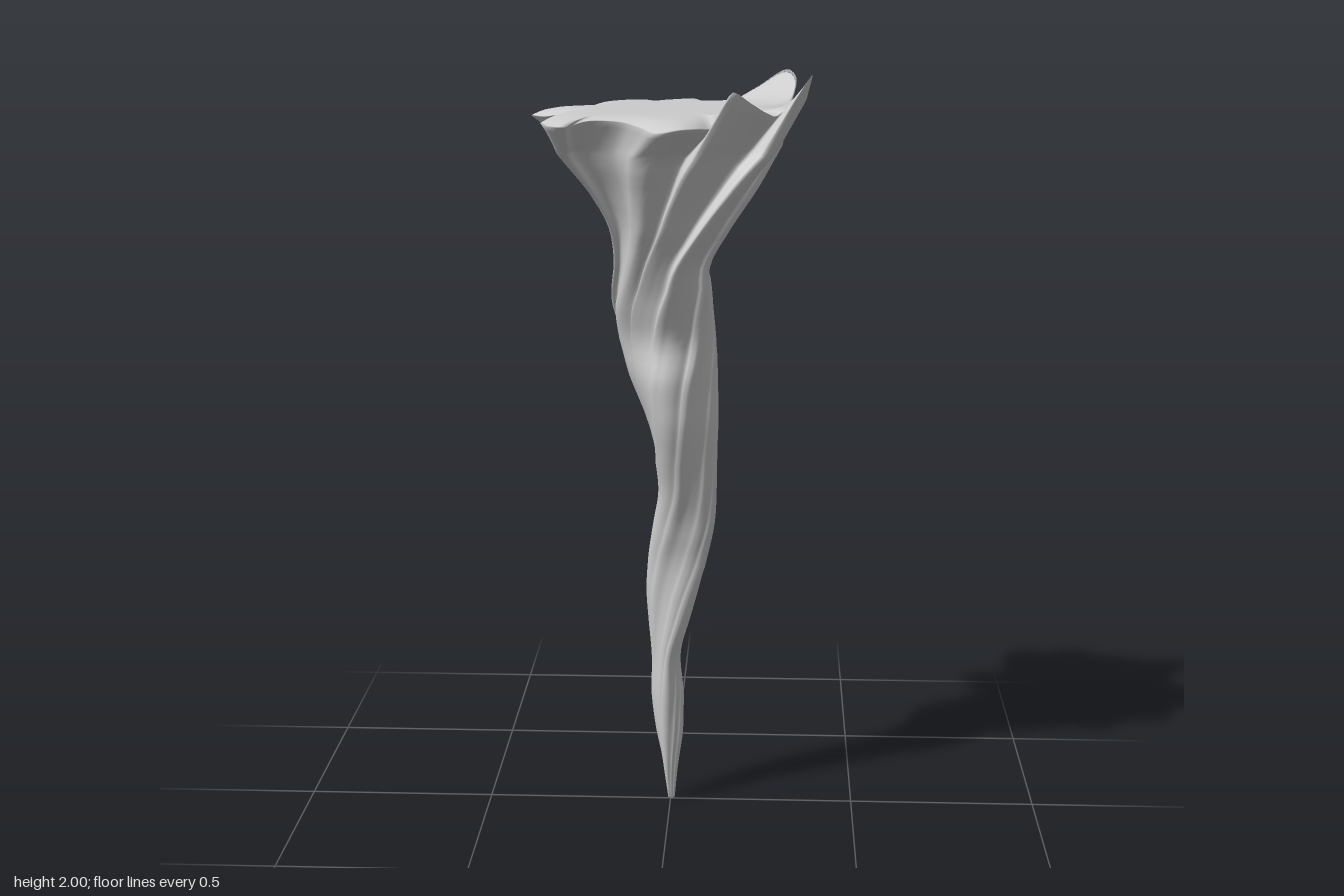
import * as THREE from 'three';

// Rim outline, in order around the flower-like mouth: x, height, z
const RIM = [
  [0.29, 1.89, -0.09], [0.32, 1.89, -0.04], [0.345, 1.92, 0.02], [0.355, 1.96, 0.08],
  [0.362, 2.0, 0.13], [0.345, 1.98, 0.165], [0.28, 1.90, 0.155], [0.25, 1.91, 0.21],
  [0.21, 1.94, 0.28], [0.165, 1.97, 0.323], [0.145, 1.93, 0.295], [0.12, 1.88, 0.275],
  [0.08, 1.88, 0.33], [0.04, 1.88, 0.36], [-0.02, 1.87, 0.355], [-0.06, 1.88, 0.31],
  [-0.11, 1.89, 0.26], [-0.2, 1.89, 0.235], [-0.235, 1.88, 0.25], [-0.25, 1.88, 0.305],
  [-0.285, 1.88, 0.285], [-0.315, 1.88, 0.2], [-0.32, 1.88, 0.14], [-0.285, 1.89, 0.05],
  [-0.33, 1.88, 0], [-0.367, 1.88, -0.05], [-0.35, 1.88, -0.095], [-0.235, 1.89, -0.14],
  [-0.215, 1.89, -0.19], [-0.22, 1.89, -0.23], [-0.195, 1.89, -0.31], [-0.16, 1.89, -0.345],
  [-0.1, 1.89, -0.355], [-0.07, 1.88, -0.33], [-0.02, 1.89, -0.36], [0.05, 1.90, -0.365],
  [0.08, 1.89, -0.33], [0.15, 1.90, -0.3], [0.22, 1.94, -0.25], [0.3, 1.99, -0.215],
  [0.325, 1.97, -0.18], [0.31, 1.91, -0.12],
];

// Extents of the stem every 0.1 units of height: min x, max x, min z, max z
const STEM = [
  [-0.006, 0.012, -0.004, 0.014], [-0.02, 0.022, -0.02, 0.033], [-0.04, 0.035, -0.022, 0.04],
  [-0.052, 0.036, -0.03, 0.044], [-0.052, 0.026, -0.05, 0.045], [-0.06, 0.048, -0.064, 0.05],
  [-0.066, 0.075, -0.066, 0.05], [-0.06, 0.1, -0.062, 0.052], [-0.045, 0.12, -0.075, 0.07],
  [-0.03, 0.125, -0.08, 0.1], [-0.04, 0.126, -0.085, 0.13], [-0.07, 0.128, -0.09, 0.155],
  [-0.11, 0.125, -0.11, 0.16], [-0.135, 0.12, -0.125, 0.135], [-0.16, 0.11, -0.145, 0.165],
  [-0.15, 0.105, -0.17, 0.2], [-0.16, 0.16, -0.22, 0.22], [-0.21, 0.23, -0.27, 0.25],
  [-0.285, 0.29, -0.335, 0.285],
];

const N = 168;
const { lerp, smoothstep } = THREE.MathUtils;

function rimRing() {
  const curve = new THREE.CatmullRomCurve3(RIM.map(p => new THREE.Vector3(...p)), true);
  return curve.getSpacedPoints(N).slice(0, N);
}

// Twisted lobed section at height y, fitted to the given extents
function stemRing(y, [x0, x1, z0, z1], rim) {
  const twist = 2.3 * (1.9 - y);
  const weight = lerp(0.35, 0.9, smoothstep(y, 1.0, 1.8));
  const pts = rim.map(p => {
    const a = Math.atan2(p.z, p.x);
    const r = lerp(1 + 0.18 * Math.cos(3 * a), Math.hypot(p.x, p.z) / 0.33, weight);
    return new THREE.Vector3(r * Math.cos(a + twist), y, r * Math.sin(a + twist));
  });
  const box = new THREE.Box3().setFromPoints(pts);
  for (const p of pts) {
    p.x = lerp(x0, x1, (p.x - box.min.x) / (box.max.x - box.min.x));
    p.z = lerp(z0, z1, (p.z - box.min.z) / (box.max.z - box.min.z));
  }
  return pts;
}

// Skin closed rings of N points from bottom to top, ending in a pole at each end
function skin(rings, bottom, top) {
  const pos = [], index = [];
  for (const ring of rings) for (const p of ring) pos.push(p.x, p.y, p.z);
  const b = rings.length * N, t = b + 1, last = (rings.length - 1) * N;
  pos.push(...bottom, ...top);
  for (let i = 0; i < N; i++) {
    const k = (i + 1) % N;
    for (let j = 0; j < rings.length - 1; j++) {
      const o = j * N, u = o + N;
      index.push(o + i, u + i, o + k, u + i, u + k, o + k);
    }
    index.push(b, i, k, last + i, t, last + k);
  }
  const geo = new THREE.BufferGeometry();
  geo.setAttribute('position', new THREE.Float32BufferAttribute(pos, 3));
  geo.setIndex(index);
  geo.computeVertexNormals();
  return geo;
}

export function createModel() {
  const group = new THREE.Group();
  group.name = 'twistedHorn';
  const rim = rimRing();
  const rings = [];

  // Stem: smooth interpolation of the extents
  const lows = new THREE.CatmullRomCurve3(STEM.map(s => new THREE.Vector3(s[0], 0, s[2])));
  const highs = new THREE.CatmullRomCurve3(STEM.map(s => new THREE.Vector3(s[1], 0, s[3])));
  const steps = (STEM.length - 1) * 4;
  for (let j = 0; j <= steps; j++) {
    const lo = lows.getPoint(j / steps), hi = highs.getPoint(j / steps);
    rings.push(stemRing(0.008 + 1.792 * j / steps, [lo.x, hi.x, lo.z, hi.z], rim));
  }

  // Flare: from the top of the stem out to the rim lobes
  const neck = rings[rings.length - 1];
  for (let j = 1; j <= 6; j++) {
    rings.push(neck.map((p, i) => p.clone().lerp(rim[i], j / 6)));
  }

  // Mouth: rounded lip, then a nearly flat face; [scale, share of lobe height kept]
  for (const [s, keep] of [[0.985, 0.9], [0.95, 0.65], [0.9, 0.38], [0.83, 0.15], [0.74, 0.04], [0.6, 0], [0.4, 0], [0.2, 0]]) {
    rings.push(rim.map(p => {
      const r = Math.hypot(p.x, p.z);
      const k = s * lerp(0.31 / r, 1, smoothstep(s, 0.4, 0.95));
      return new THREE.Vector3(p.x * k, 1.905 + (p.y - 1.905) * keep, p.z * k);
    }));
  }

  const horn = new THREE.Mesh(
    skin(rings, [0.003, 0, 0.005], [0, 1.905, 0]),
    new THREE.MeshStandardMaterial({ color: 0xcccccc }),
  );
  horn.name = 'horn';
  group.add(horn);
  return group;
}
